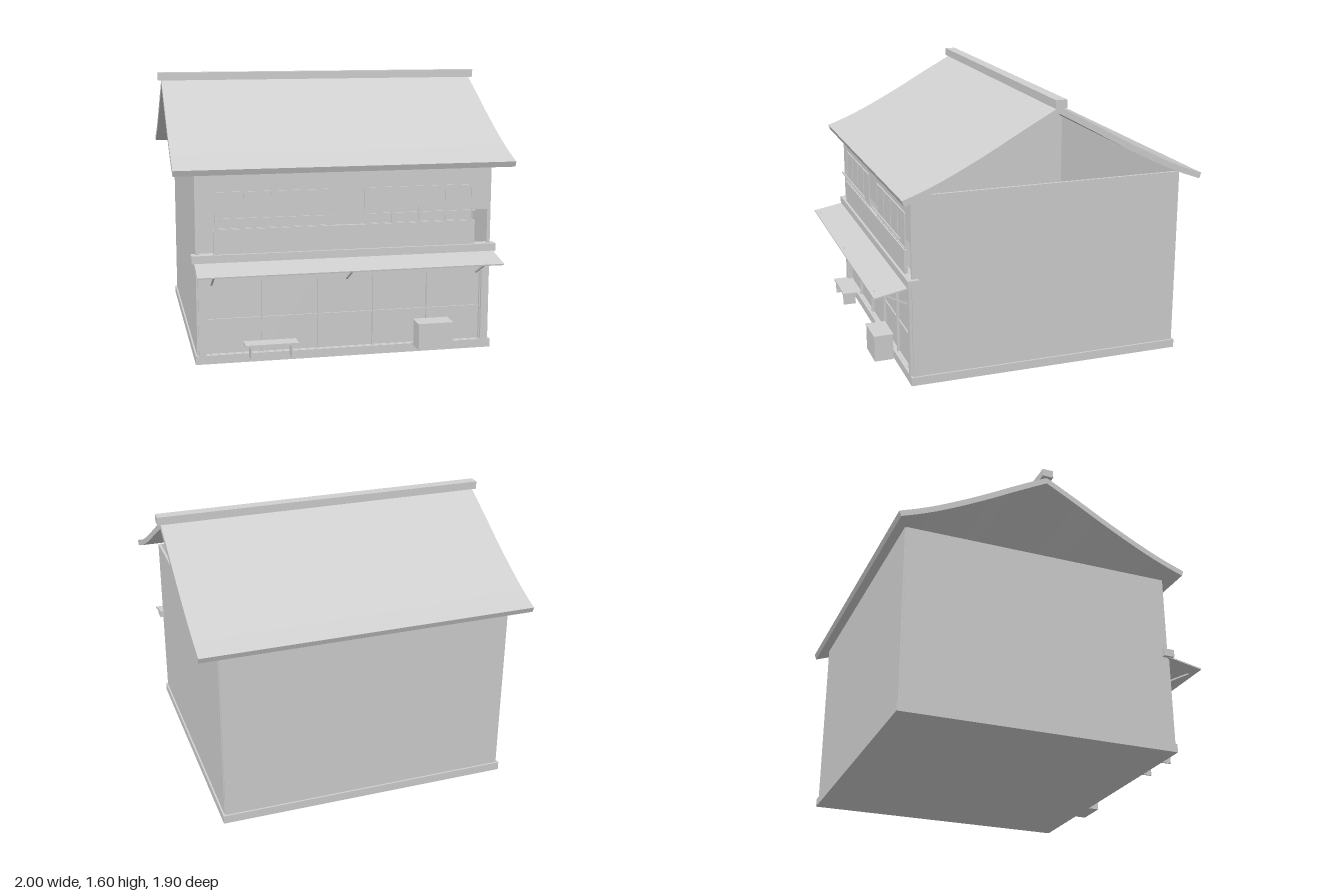
import * as THREE from 'three';
import { toCreasedNormals } from 'three/addons/utils/BufferGeometryUtils.js';

export function createModel() {
  const house = new THREE.Group();
  house.name = 'house';
  const grey = new THREE.MeshStandardMaterial({ color: 0xd0d0d0 });
  grey.name = 'plain grey';

  const add = (name, geometry, parent = house) => {
    const mesh = new THREE.Mesh(geometry, grey);
    mesh.name = name;
    parent.add(mesh);
    return mesh;
  };
  // Box given by its lower and upper corners
  const box = (name, x0, x1, y0, y1, z0, z1, parent) => {
    const mesh = add(name, new THREE.BoxGeometry(x1 - x0, y1 - y0, z1 - z0), parent);
    mesh.position.set((x0 + x1) / 2, (y0 + y1) / 2, (z0 + z1) / 2);
    return mesh;
  };
  const group = (name) => {
    const g = new THREE.Group();
    g.name = name;
    house.add(g);
    return g;
  };
  // Profile of [z, y] points extruded along x, centred on x
  const alongX = (points, width, x = 0) => {
    const shape = new THREE.Shape(points.map(([z, y]) => new THREE.Vector2(z, y)));
    const g = new THREE.ExtrudeGeometry(shape, { depth: width, bevelEnabled: false });
    g.rotateY(-Math.PI / 2);
    g.translate(x + width / 2, 0, 0);
    return g;
  };
  const rect = (Type, x0, x1, y0, y1) => new Type([
    new THREE.Vector2(x0, y0), new THREE.Vector2(x1, y0),
    new THREE.Vector2(x1, y1), new THREE.Vector2(x0, y1)]);

  // Base, back and side walls, open at the gables
  box('base', -0.87, 0.87, 0, 0.05, -0.885, 0.755);
  box('backWall', -0.855, 0.855, 0.05, 1.1, -0.875, -0.86);
  for (const s of [-1, 1]) {
    const mid = s * 0.8525;
    box('sideWall', mid - 0.0075, mid + 0.0075, 0.05, 1.1, -0.865, 0.74);
  }

  // Front wall with a door opening and a long upstairs opening
  const front = rect(THREE.Shape, -0.845, 0.845, 0.05, 1.1);
  front.holes.push(rect(THREE.Path, -0.81, 0.81, 0.051, 0.47));
  front.holes.push(rect(THREE.Path, -0.84, 0.84, 0.63, 0.83));
  const frontGeometry = new THREE.ExtrudeGeometry(front, { depth: 0.012, bevelEnabled: false });
  frontGeometry.translate(0, 0, 0.728);
  add('frontWall', frontGeometry);

  // Ground floor posts, lintel and sliding doors
  for (const s of [-1, 1]) {
    box('cornerPost', s * 0.83 - 0.02, s * 0.83 + 0.02, 0.05, 0.585, 0.735, 0.755);
  }
  box('lintel', -0.81, 0.81, 0.47, 0.585, 0.735, 0.75);
  const doors = group('slidingDoors');
  const doorWidth = 1.62 / 5;
  for (let i = 0; i < 5; i++) {
    const x0 = -0.81 + i * doorWidth;
    box('doorPanel', x0, x0 + doorWidth, 0.05, 0.47, 0.715, 0.722, doors);
    box('doorMidRail', x0, x0 + doorWidth, 0.246, 0.254, 0.72, 0.73, doors);
  }
  for (let i = 0; i <= 5; i++) {
    const x = -0.81 + i * doorWidth;
    box('doorStile', x - 0.006, x + 0.006, 0.05, 0.47, 0.715, 0.738, doors);
  }

  // Ledge and parapet between the floors
  box('ledge', -0.885, 0.885, 0.585, 0.63, 0.705, 0.77);
  box('parapet', -0.76, 0.76, 0.63, 0.77, 0.735, 0.755);

  // Upstairs windows with four panes each, and thin hand rails
  for (const s of [-1, 1]) {
    const windowFrame = group('upperWindow');
    const c = s * 0.425, half = 0.32;
    box('windowPane', c - half, c + half, 0.765, 0.97, 0.737, 0.742, windowFrame);
    for (const y of [0.77, 0.975]) {
      box('windowRail', c - half, c + half, y - 0.005, y + 0.005, 0.738, 0.748, windowFrame);
    }
    for (let i = 0; i <= 4; i++) {
      const x = c - half + i * half / 2;
      box('windowBar', x - 0.004, x + 0.004, 0.77, 0.975, 0.738, 0.746, windowFrame);
    }
    box('handRail', c - 0.33, c + 0.33, 0.828, 0.836, 0.771, 0.779);
  }

  // Sloping awning on three struts
  add('awning', alongX([[0.745, 0.583], [0.955, 0.542], [0.956, 0.55], [0.745, 0.591]], 1.74));
  for (const x of [-0.775, 0, 0.775]) {
    add('awningStrut', alongX([[0.745, 0.462], [0.75, 0.454], [0.938, 0.552], [0.934, 0.56]], 0.01, x));
  }

  // Curved roof: one slope of the profile mirrored about the ridge
  const ridge = -0.065, thickness = 0.034;
  const curve = new THREE.SplineCurve([[0, 1.555], [0.2, 1.447], [0.4, 1.335], [0.6, 1.232],
    [0.75, 1.164], [0.882, 1.115]].map(([d, y]) => new THREE.Vector2(d, y)));
  const outer = [], inner = [];
  for (let i = 0; i <= 14; i++) {
    const p = curve.getPoint(i / 14), t = curve.getTangent(i / 14);
    outer.push([p.x, p.y]);
    inner.push(i === 0 ? [0, p.y - thickness * 1.14] : [p.x + t.y * thickness, p.y - t.x * thickness]);
  }
  const toFront = ([d, y]) => [ridge + d, y];
  const toBack = ([d, y]) => [ridge - d, y];
  const roofProfile = [
    ...outer.slice().reverse().map(toFront), ...outer.slice(1).map(toBack),
    ...inner.slice(1).reverse().map(toBack), ...inner.map(toFront)];
  add('roof', toCreasedNormals(alongX(roofProfile, 1.96), 0.4));
  box('ridgeCap', -1, 1, 1.55, 1.597, ridge - 0.033, ridge + 0.033);

  // Bench and crate by the doors
  const bench = group('bench');
  box('benchSeat', -0.605, -0.305, 0.125, 0.137, 0.8, 0.89, bench);
  for (const x of [-0.57, -0.34]) {
    box('benchLeg', x - 0.005, x + 0.005, 0.05, 0.125, 0.805, 0.885, bench);
  }
  const crate = group('crate');
  box('crateBody', 0.39, 0.59, 0.05, 0.2, 0.787, 0.898, crate);
  box('crateLid', 0.386, 0.594, 0.2, 0.207, 0.784, 0.901, crate);

  return house;
}
